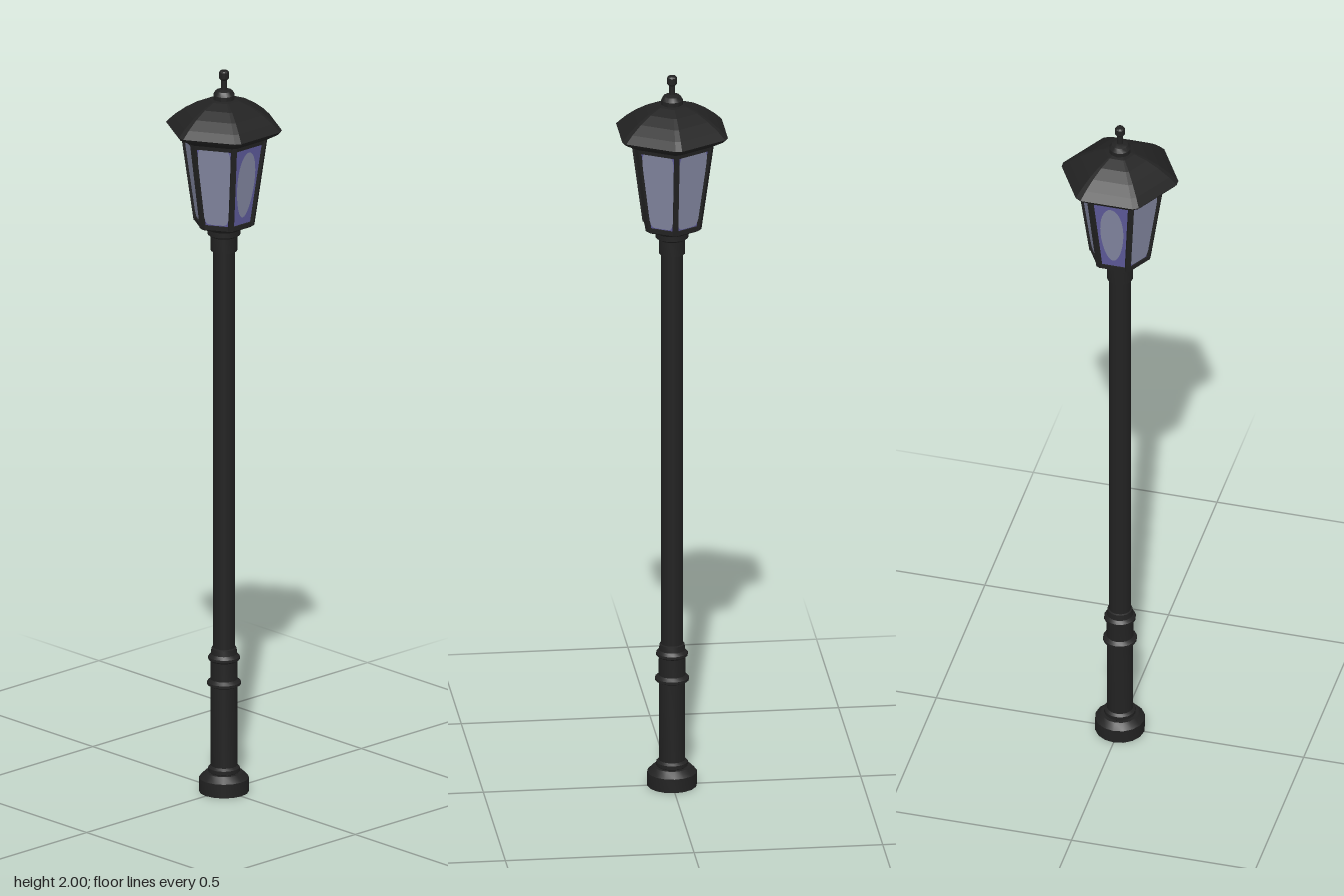
import * as THREE from 'three';
import { toCreasedNormals } from 'three/addons/utils/BufferGeometryUtils.js';

const metal = new THREE.MeshStandardMaterial({ color: 0x222222 });
metal.name = 'blackMetal';
const glass = new THREE.MeshStandardMaterial({ color: 0x5f5c9c });
glass.name = 'violetGlass';
const frosted = new THREE.MeshStandardMaterial({ color: 0x8488a2, side: THREE.DoubleSide });
frosted.name = 'frostedGlass';

// Six-sided ring with clipped corners; a is the distance from axis to flat
function hexRing(y, a) {
  const R = a / Math.cos(Math.PI / 6), pts = [];
  for (let k = 0; k < 6; k++) {
    const corner = (j) => {
      const t = (j * Math.PI) / 3;
      return new THREE.Vector3(Math.sin(t) * R, y, Math.cos(t) * R);
    };
    pts.push(corner(k).lerp(corner(k - 1), 0.0625), corner(k).lerp(corner(k + 1), 0.0625));
  }
  return pts;
}

// Closed flat-sided solid through [y, a] rings, listed bottom to top
function hexLoft(profile) {
  const rings = profile.map(([y, a]) => hexRing(y, a)), pos = [];
  const tri = (...p) => p.forEach((v) => pos.push(v.x, v.y, v.z));
  const n = 12;
  for (let r = 0; r < rings.length - 1; r++) {
    for (let i = 0; i < n; i++) {
      const j = (i + 1) % n, lo = rings[r], hi = rings[r + 1];
      tri(lo[i], lo[j], hi[j]);
      tri(lo[i], hi[j], hi[i]);
    }
  }
  const bottom = rings[0], top = rings[rings.length - 1];
  for (let i = 1; i < n - 1; i++) {
    tri(bottom[0], bottom[i + 1], bottom[i]);
    tri(top[0], top[i], top[i + 1]);
  }
  const g = new THREE.BufferGeometry();
  g.setAttribute('position', new THREE.Float32BufferAttribute(pos, 3));
  g.computeVertexNormals();
  return g;
}

// Turned part from [radius, y] points, listed bottom to top
function turned(points, sides) {
  const g = new THREE.LatheGeometry(points.map(([r, y]) => new THREE.Vector2(r, y)), sides);
  return toCreasedNormals(g, 0.5);
}

export function createModel() {
  const model = new THREE.Group();
  model.name = 'streetLamp';
  const add = (name, geometry, material = metal, parent = model) => {
    const m = new THREE.Mesh(geometry, material);
    m.name = name;
    parent.add(m);
    return m;
  };

  // Foot, sleeve with rings, and shaft
  add('base', turned([[0, 0], [0.066, 0], [0.066, 0.038], [0.05, 0.054], [0, 0.054]], 16));
  add('lowerSleeve', turned([
    [0.035, 0.05], [0.042, 0.056], [0.042, 0.066], [0.035, 0.072],
    [0.035, 0.292], [0.045, 0.297], [0.045, 0.304], [0.036, 0.312],
    [0.035, 0.362], [0.042, 0.367], [0.042, 0.374], [0.035, 0.382],
    [0.033, 0.398], [0.028, 0.4],
  ], 16));
  add('shaft', new THREE.CylinderGeometry(0.029, 0.029, 1.14, 16), metal).position.y = 0.95;
  add('collar', turned([
    [0.028, 1.5], [0.035, 1.502], [0.035, 1.542], [0.044, 1.548],
    [0.044, 1.562], [0.056, 1.577], [0, 1.577],
  ], 16));

  // Lantern body
  const lantern = new THREE.Group();
  lantern.name = 'lantern';
  model.add(lantern);
  const y0 = 1.58, y1 = 1.825, in0 = 0.066, in1 = 0.097;
  add('lanternFloor', hexLoft([[1.574, 0.066], [1.578, 0.071], [1.59, 0.071]]), metal, lantern);
  add('glassBody', hexLoft([[y0, in0], [y1, in1]]), glass, lantern);
  add('topRail', hexLoft([[1.808, 0.099], [1.83, 0.102]]), metal, lantern);

  // Corner bars leaning outward
  for (let k = 0; k < 6; k++) {
    const t = (k * Math.PI) / 3;
    const at = (r, y) => new THREE.Vector3(Math.sin(t) * r, y, Math.cos(t) * r);
    const lo = at(0.076, y0), hi = at(0.112, y1);
    const bar = add('cornerBar', new THREE.BoxGeometry(0.014, 0.011, lo.distanceTo(hi)), metal, lantern);
    bar.position.copy(lo).lerp(hi, 0.5);
    bar.up.copy(at(1, 0));
    bar.lookAt(hi);
  }

  // Pale inner field on each pane: an oval on the sides, nearly full elsewhere
  for (let k = 0; k < 6; k++) {
    const t = Math.PI / 6 + (k * Math.PI) / 3;
    const side = k % 3 === 1;
    const power = side ? 1 : 0.3, wide = side ? 0.66 : 0.86, tall = side ? 0.38 : 0.45;
    const shape = [];
    for (let i = 0; i < 32; i++) {
      const q = (i / 32) * Math.PI * 2, c = Math.cos(q), s = Math.sin(q);
      const v = 0.5 + tall * Math.sign(s) * Math.abs(s) ** power;
      const a = in0 + (in1 - in0) * v;
      const u = wide * Math.sign(c) * Math.abs(c) ** power * a * Math.tan(Math.PI / 6);
      shape.push(new THREE.Vector2(u, v));
    }
    const g = new THREE.ShapeGeometry(new THREE.Shape(shape));
    const p = g.attributes.position;
    for (let i = 0; i < p.count; i++) {
      const v = p.getY(i);
      p.setXYZ(i, p.getX(i), y0 + (y1 - y0) * v, in0 + (in1 - in0) * v + 0.0015);
    }
    g.computeVertexNormals();
    add('paneField', g, frosted, lantern).rotation.y = t;
  }

  // Roof with its lip, cap and finial
  add('roof', hexLoft([
    [1.82, 0.104], [1.838, 0.134], [1.846, 0.14], [1.866, 0.121],
    [1.888, 0.095], [1.907, 0.066], [1.92, 0.036], [1.924, 0.02],
  ]));
  add('roofCap', turned([[0.029, 1.915], [0.029, 1.934], [0.022, 1.945], [0.012, 1.949], [0, 1.949]], 12));
  add('finial', turned([
    [0.008, 1.945], [0.008, 1.974], [0.013, 1.979], [0.013, 1.996], [0.01, 2], [0, 2],
  ], 12));
  return model;
}
